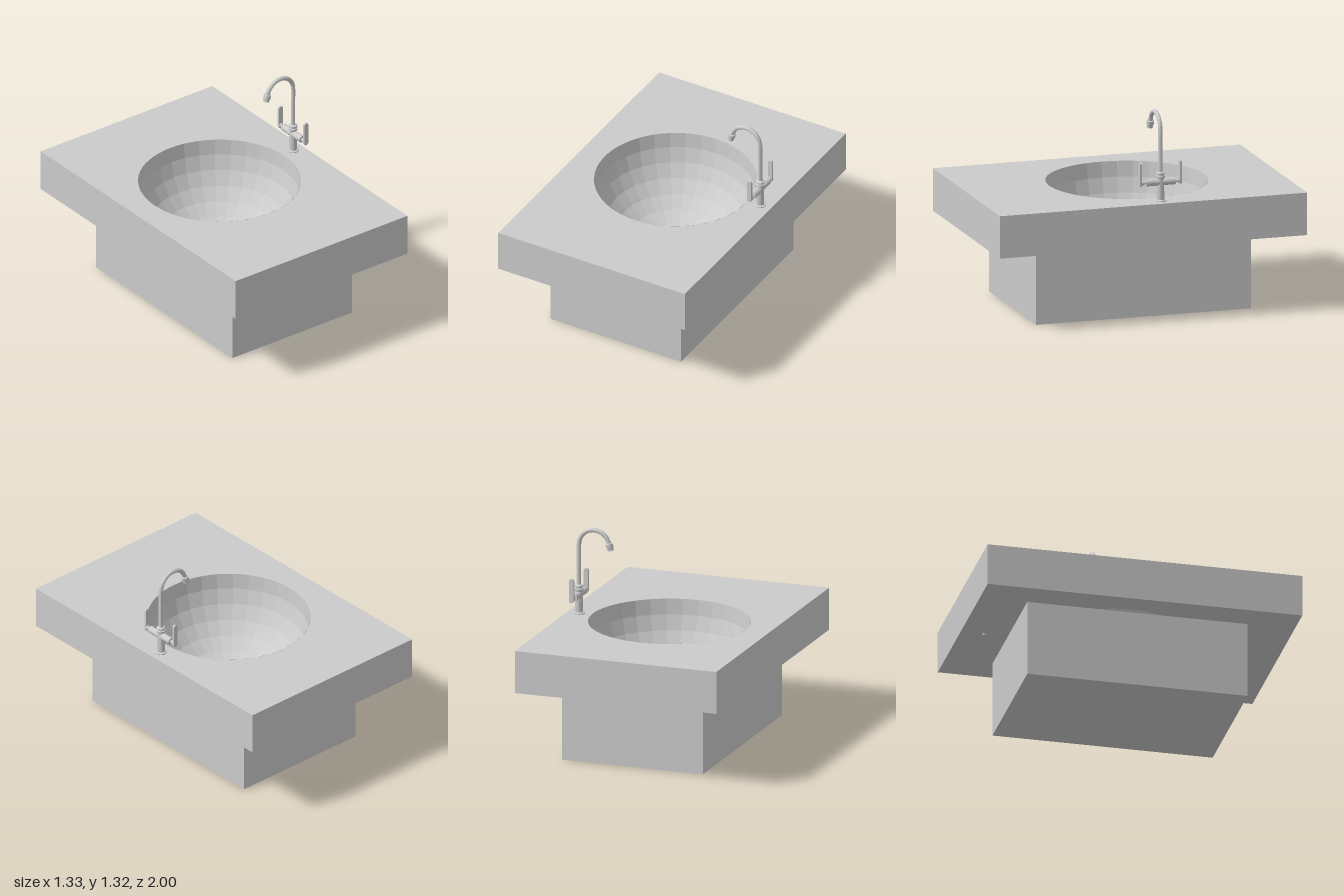
import * as THREE from 'three';

const TOP = 0.76, LEDGE = 0.49, BOWL_R = 0.505, BOWL_Z = -0.045, SIDES = 32;

function material() {
  return new THREE.MeshStandardMaterial({ color: 0xcccccc, flatShading: true, side: THREE.DoubleSide });
}

function add(parent, name, geometry, x = 0, y = 0, z = 0) {
  const mesh = new THREE.Mesh(geometry, material());
  mesh.name = name;
  mesh.position.set(x, y, z);
  parent.add(mesh);
  return mesh;
}

function circleHole(x, y, r) {
  return new THREE.Path().absarc(x, y, r, 0, Math.PI * 2, true);
}

// Extrudes a shape drawn in x and -z upwards from y = 0
function slab(shape, depth, curveSegments) {
  return new THREE.ExtrudeGeometry(shape, { depth, bevelEnabled: false, curveSegments }).rotateX(-Math.PI / 2);
}

function createCounter(group) {
  // Countertop with a round opening
  const outline = new THREE.Shape([[-0.665, -1], [0.665, -1], [0.665, 1], [-0.665, 1]]
    .map(([x, y]) => new THREE.Vector2(x, y)));
  outline.holes.push(circleHole(0, -BOWL_Z, BOWL_R));
  add(group, 'countertop', slab(outline, TOP - LEDGE, SIDES), 0, LEDGE, 0);

  // Base cabinet, open at the top to leave room for the bowl
  const box = new THREE.BoxGeometry(0.93, LEDGE, 1.4);
  box.setIndex(Array.from(box.index.array).filter((_, i) => i < 12 || i >= 18));
  add(group, 'base', box, 0, LEDGE / 2, 0);

  // Small stud below the rear overhang
  add(group, 'underStud', new THREE.CylinderGeometry(0.01, 0.01, 0.012, 8), -0.01, 0.457, -0.865);
}

function createBowl(group) {
  // Faceted hemisphere ending at the drain
  const profile = [];
  for (let i = 1; i <= 8; i++) {
    const a = i * Math.PI / 16;
    profile.push(new THREE.Vector2(BOWL_R * Math.sin(a), -BOWL_R * Math.cos(a)));
  }
  add(group, 'bowl', new THREE.LatheGeometry(profile, SIDES), 0, TOP, BOWL_Z);

  // Drain plate with a ring of holes and a floor under them
  const plate = new THREE.Shape().absarc(0, 0, profile[0].x, 0, Math.PI * 2, false);
  for (let i = 0; i < 8; i++) {
    const a = i * Math.PI / 4;
    plate.holes.push(circleHole(0.051 * Math.cos(a), 0.051 * Math.sin(a), 0.017));
  }
  const drainY = TOP + profile[0].y;
  add(group, 'drainPlate', slab(plate, 0.015, 16), 0, drainY - 0.015, BOWL_Z);
  add(group, 'drainFloor', new THREE.CylinderGeometry(0.098, 0.098, 0.005, SIDES), 0, drainY - 0.018, BOWL_Z);
}

function createFaucet() {
  const faucet = new THREE.Group();
  faucet.name = 'faucet';
  faucet.position.set(0.588, TOP, -0.07);

  // Flange, column and collars turned as one profile
  const profile = [[0, 0], [0.037, 0], [0.037, 0.006], [0.025, 0.01], [0.023, 0.145], [0.028, 0.149],
    [0.028, 0.161], [0.022, 0.164], [0.022, 0.169], [0.027, 0.172], [0.027, 0.18], [0.015, 0.187], [0, 0.187]];
  add(faucet, 'column', new THREE.LatheGeometry(profile.map(([r, y]) => new THREE.Vector2(r, y)), 16));

  // Valve cross bar
  const barY = 0.122;
  add(faucet, 'valveBar', new THREE.CylinderGeometry(0.023, 0.023, 0.19, 16).rotateX(Math.PI / 2), 0, barY, 0);

  // Upright levers with rounded ends, one on each end of the bar
  const lever = new THREE.Shape();
  lever.absarc(0, 0.125, 0.015, 0, Math.PI, false);
  lever.absarc(0, 0, 0.015, Math.PI, Math.PI * 2, false);
  const leverGeometry = new THREE.ExtrudeGeometry(lever, { depth: 0.014, bevelEnabled: false, curveSegments: 6 });
  leverGeometry.translate(0, 0, -0.007);
  for (const [side, s] of [['front', 1], ['rear', -1]]) {
    add(faucet, side + 'ValveNeck', new THREE.CylinderGeometry(0.011, 0.011, 0.03, 12).rotateX(Math.PI / 2), 0, barY, s * 0.107);
    add(faucet, side + 'ValveCollar', new THREE.CylinderGeometry(0.015, 0.015, 0.014, 12).rotateX(Math.PI / 2), 0, barY, s * 0.117);
    add(faucet, side + 'Lever', leverGeometry, 0, barY - 0.007, s * 0.13);
  }

  // Gooseneck spout
  const R = 0.1, archY = 0.445, end = THREE.MathUtils.degToRad(165);
  const points = [0.18, 0.27, 0.36].map(y => new THREE.Vector3(0, y, 0));
  for (let i = 0; i <= 9; i++) {
    const a = end * i / 9;
    points.push(new THREE.Vector3(R * Math.cos(a) - R, archY + R * Math.sin(a), 0));
  }
  add(faucet, 'spout', new THREE.TubeGeometry(new THREE.CatmullRomCurve3(points), 28, 0.014, 10));

  // Nozzle continuing along the end of the spout
  const nozzle = [[0, 0.012], [0.015, 0.012], [0.015, -0.002], [0.023, -0.005], [0.023, -0.03],
    [0.02, -0.033], [0.02, -0.05], [0, -0.05]].map(([r, y]) => new THREE.Vector2(r, y));
  const tip = points[points.length - 1];
  add(faucet, 'nozzle', new THREE.LatheGeometry(nozzle, 14), tip.x, tip.y, 0).rotation.z = end - Math.PI;
  return faucet;
}

export function createModel() {
  const model = new THREE.Group();
  model.name = 'washbasin';
  createCounter(model);
  createBowl(model);
  model.add(createFaucet());
  return model;
}
